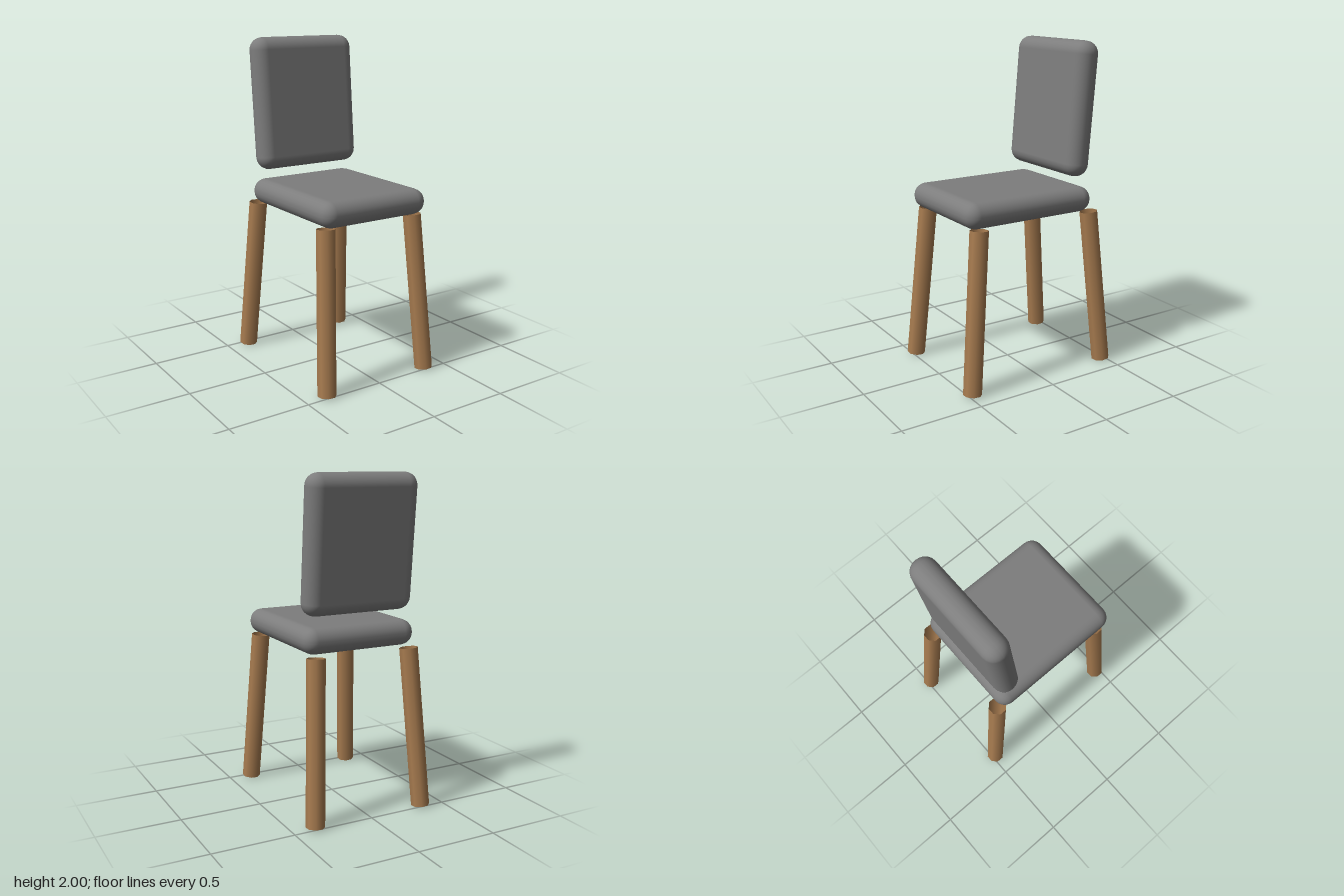
import * as THREE from 'three';
import { RoundedBoxGeometry } from 'three/addons/geometries/RoundedBoxGeometry.js';

export function createModel() {
  const chair = new THREE.Group();
  chair.name = 'chair';
  const cushion = new THREE.MeshStandardMaterial({ color: 0x7d7d7d });
  const wood = new THREE.MeshStandardMaterial({ color: 0xa87c50, side: THREE.DoubleSide });

  // Padded seat
  const seat = new THREE.Mesh(new RoundedBoxGeometry(0.728, 0.155, 0.872, 3, 0.076), cushion);
  seat.name = 'seat';
  seat.position.set(0, 1.06, 0.045);
  chair.add(seat);

  // Padded backrest, leaning slightly backwards
  const backrest = new THREE.Mesh(new RoundedBoxGeometry(0.702, 0.805, 0.158, 3, 0.077), cushion);
  backrest.name = 'backrest';
  backrest.position.set(0, 1.6, -0.332);
  backrest.rotation.x = -0.086;
  chair.add(backrest);

  // Four splayed legs: octagonal tubes, open at both ends
  const addLeg = (name, sx, sz) => {
    const foot = new THREE.Vector3(sx * 0.358, 0.007, sz * 0.474);
    const top = new THREE.Vector3(sx * 0.308, 0.976, sz * 0.389);
    const axis = top.clone().sub(foot);
    const geometry = new THREE.CylinderGeometry(0.056, 0.056, axis.length(), 8, 1, true, Math.PI / 8);
    const leg = new THREE.Mesh(geometry, wood);
    leg.name = name;
    leg.position.copy(foot).add(top).multiplyScalar(0.5);
    leg.quaternion.setFromUnitVectors(new THREE.Vector3(0, 1, 0), axis.normalize());
    chair.add(leg);
  };
  for (const [side, sx] of [['Left', 1], ['Right', -1]]) {
    addLeg('front' + side + 'Leg', sx, 1);
    addLeg('back' + side + 'Leg', sx, -1);
  }

  return chair;
}
